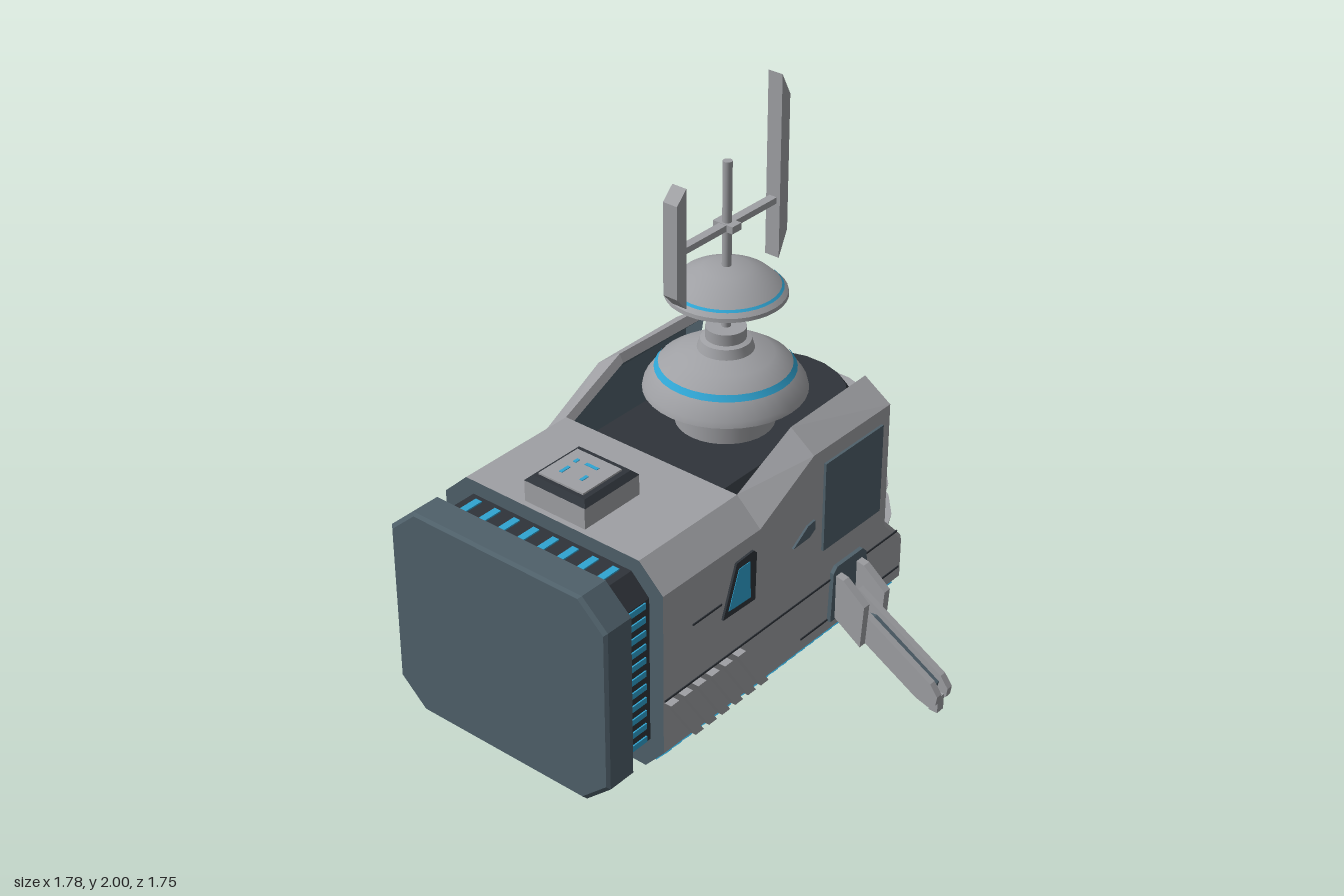
import * as THREE from 'three';
import { mergeGeometries, toCreasedNormals } from 'three/addons/utils/BufferGeometryUtils.js';

const material = (name, color, extra = {}) => {
  const m = new THREE.MeshStandardMaterial({ color, ...extra });
  m.name = name;
  return m;
};

// Skin through equal loops of [x, y, z]; kinds gives a material index per loop segment
function loft(loops, kinds = [], capKind = 0) {
  const n = loops[0].length, buckets = [[], []];
  const tri = (k, ...p) => buckets[k].push(...p.flat());
  for (let i = 0; i < loops.length - 1; i++) {
    for (let j = 0; j < n; j++) {
      const k = (j + 1) % n, A = loops[i], B = loops[i + 1], m = kinds[j] ?? 0;
      tri(m, A[j], B[j], A[k]);
      tri(m, A[k], B[j], B[k]);
    }
  }
  const S = loops[0], E = loops[loops.length - 1];
  for (let j = 0; j < n / 2 - 1; j++) {
    const a = j, b = j + 1, c = n - 2 - j, d = n - 1 - j;
    tri(capKind, S[a], S[b], S[c]); tri(capKind, S[a], S[c], S[d]);
    tri(capKind, E[a], E[c], E[b]); tri(capKind, E[a], E[d], E[c]);
  }
  const geo = new THREE.BufferGeometry();
  geo.setAttribute('position', new THREE.Float32BufferAttribute(buckets.flat(), 3));
  geo.addGroup(0, buckets[0].length / 3, 0);
  geo.addGroup(buckets[0].length / 3, buckets[1].length / 3, 1);
  geo.computeVertexNormals();
  return geo;
}

// Copy of a flat-shaded geometry on the other side of z = 0
function mirrorZ(geo) {
  const g = geo.index ? geo.toNonIndexed() : geo.clone();
  g.scale(1, 1, -1);
  const p = g.attributes.position, v = new THREE.Vector3(), w = new THREE.Vector3();
  for (let i = 0; i < p.count; i += 3) {
    v.fromBufferAttribute(p, i + 1);
    w.fromBufferAttribute(p, i + 2);
    p.setXYZ(i + 1, w.x, w.y, w.z);
    p.setXYZ(i + 2, v.x, v.y, v.z);
  }
  g.computeVertexNormals();
  return g;
}

const box = (w, h, d, x, y, z) => new THREE.BoxGeometry(w, h, d).translate(x, y, z);
const extrude = (pts, depth) => new THREE.ExtrudeGeometry(
  new THREE.Shape(pts.map(p => new THREE.Vector2(...p))), { depth, bevelEnabled: false });
const plate = (pts, depth = 0.008, z = 0.455) => extrude(pts, depth).translate(0, 0, z);
// Outline in (z, y), thickened along x
const slab = (pts, w, x) => extrude(pts, w).rotateY(-Math.PI / 2).translate(x + w / 2, 0, 0);
const lathe = (pts, x, seg = 36) => toCreasedNormals(
  new THREE.LatheGeometry(pts.map(p => new THREE.Vector2(...p)), seg), 0.6).translate(x, 0, 0);
const octagon = (x, z, y0, y1, cz, cy) => [[-z + cz, y0], [z - cz, y0], [z, y0 + cy], [z, y1 - cy],
  [z - cz, y1], [-z + cz, y1], [-z, y1 - cy], [-z, y0 + cy]].map(([a, b]) => [x, b, a]);
// U-shaped line: straight sides from x0, half circle about cx
function uLine(r, y, x0, cx) {
  const pts = [[x0, y, -r]];
  for (let i = 0; i <= 11; i++) {
    const a = -Math.PI / 2 + Math.PI * i / 11;
    pts.push([cx + r * Math.cos(a), y, r * Math.sin(a)]);
  }
  return [...pts, [x0, y, r]];
}

export function createModel() {
  const model = new THREE.Group();
  model.name = 'station';
  const gray = material('hull gray', 0x9fa0a4);
  const slate = material('slate', 0x4f606a);
  const dark = material('dark metal', 0x2f343a);
  const blue = material('light blue', 0x2fa4d2);
  const deep = material('deep blue', 0x1f5fd6);
  const add = (name, geo, mat) => {
    const mesh = new THREE.Mesh(geo, mat);
    mesh.name = name;
    model.add(mesh);
  };
  const both = (name, geo, mat) => {
    add(name + 'Left', geo, mat);
    add(name + 'Right', mirrorZ(geo), mat);
  };

  // End cap and ribbed neck
  add('endCap', loft([octagon(-0.895, 0.44, 0.12, 0.87, 0.1, 0.09), octagon(-0.885, 0.45, 0.11, 0.88, 0.1, 0.09),
    octagon(-0.78, 0.45, 0.11, 0.88, 0.1, 0.09)]), slate);
  add('neck', loft([octagon(-0.78, 0.4, 0.15, 0.83, 0.07, 0.07), octagon(-0.64, 0.4, 0.15, 0.83, 0.07, 0.07)]), dark);
  const strips = [], sideStrips = [];
  for (let i = 0; i < 8; i++) {
    const z = -0.287 + i * 0.082;
    strips.push(box(0.095, 0.008, 0.026, -0.708, 0.831, z), box(0.095, 0.008, 0.026, -0.708, 0.149, z));
  }
  for (let i = 0; i < 11; i++) sideStrips.push(box(0.095, 0.022, 0.008, -0.708, 0.235 + i * 0.051, 0.401));
  add('neckLights', mergeGeometries(strips), blue);
  both('neckSideLights', mergeGeometries(sideStrips), blue);

  // Closed hull, floor and the raised side walls
  const hullLoop = x => [[-0.38, 0.105], [0.38, 0.105], [0.455, 0.19], [0.455, 0.79], [0.36, 0.88],
    [-0.36, 0.88], [-0.455, 0.79], [-0.455, 0.19]].map(([z, y]) => [x, y, z]);
  add('hull', loft([hullLoop(-0.64), hullLoop(-0.17)], [0, 1, 0, 0, 0, 0, 0, 1], 1), [gray, slate]);
  add('floor', box(0.24, 0.015, 0.76, -0.06, 0.1125, 0), gray);
  const wallLoop = (x, yc, yt, zt = 0.36, zi = 0.345) => [[0.38, 0.105], [0.455, 0.19], [0.455, yc], [zt, yt],
    [zi, yt - 0.03], [0.415, yc - 0.03], [0.415, 0.2], [0.37, 0.125]].map(([z, y]) => [x, y, z]);
  const wall = loft([wallLoop(-0.17, 0.79, 0.88), wallLoop(0.1, 0.93, 1.0), wallLoop(0.51, 0.93, 1.0, 0.35, 0.335),
    wallLoop(0.511, 0.45, 0.47, 0.45, 0.42), wallLoop(0.615, 0.34, 0.36, 0.45, 0.42)], [1, 0, 0, 0, 1, 1, 1, 1], 1);
  both('sideWall', wall, [gray, slate]);

  // Lights along the lower chamfer
  const dashes = [];
  for (let i = 0; i < 25; i++) {
    dashes.push(new THREE.BoxGeometry(0.02, 0.008, 0.075).rotateX(Math.atan2(0.75, -0.66))
      .translate(-0.6 + i * 0.049, 0.147, 0.419));
  }
  both('lowerLights', mergeGeometries(dashes), blue);

  // Side details: slanted ribs, seams, window, panel, vent
  const ribs = [];
  for (let i = 0; i < 6; i++) {
    const x = -0.635 + i * 0.066;
    ribs.push(plate([[x, 0.385], [x + 0.12, 0.2], [x + 0.16, 0.2], [x + 0.04, 0.385]], 0.026));
  }
  both('slantedRibs', mergeGeometries(ribs), gray);
  both('seams', mergeGeometries([box(1.22, 0.007, 0.004, -0.025, 0.392, 0.456),
    box(0.55, 0.007, 0.004, 0.33, 0.235, 0.456), box(0.14, 0.007, 0.004, -0.43, 0.608, 0.456)]), dark);
  both('windowFrame', plate([[-0.36, 0.548], [-0.2, 0.543], [-0.195, 0.72], [-0.21, 0.735], [-0.295, 0.73]]), dark);
  both('windowGlass', plate([[-0.335, 0.57], [-0.225, 0.565], [-0.23, 0.705], [-0.285, 0.705]], 0.0098), blue);
  both('sidePanel', plate([[0.155, 0.54], [0.465, 0.54], [0.465, 0.875], [0.155, 0.875]], 0.0095), slate);
  both('vent', plate([[-0.005, 0.63], [0.08, 0.632], [0.11, 0.65], [0.108, 0.685], [0.07, 0.68]]), slate);

  // Legs with their sockets
  both('legSocket', plate([[0.2, 0.23], [0.42, 0.23], [0.39, 0.42], [0.37, 0.44], [0.23, 0.44], [0.21, 0.42]], 0.015), slate);
  const shoulder = [[0.45, 0.25], [0.577, 0.165], [0.588, 0.33], [0.5, 0.4], [0.45, 0.41]];
  const arm = [[0.5, 0.21], [0.79, 0.045], [0.84, 0.03], [0.87, 0.05], [0.875, 0.085], [0.845, 0.125], [0.588, 0.27], [0.5, 0.32]];
  const core = [[0.5, 0.24], [0.78, 0.075], [0.83, 0.06], [0.84, 0.1], [0.58, 0.25]];
  both('shoulder', mergeGeometries([slab(shoulder, 0.03, 0.238), slab(shoulder, 0.03, 0.352)]), gray);
  both('legRails', mergeGeometries([slab(arm, 0.025, 0.265), slab(arm, 0.025, 0.325)]), gray);
  both('legCore', slab(core, 0.036, 0.295), slate);
  both('foot', box(0.035, 0.06, 0.035, 0.295, 0.03, 0.845), gray);

  // Rounded reactor core with lit rows and collar rings
  add('core', loft([[0.16, 0.31], [0.19, 0.34], [0.28, 0.36], [0.73, 0.32], [0.79, 0.305], [0.84, 0.27]]
    .map(([y, r]) => uLine(r, y, -0.17, 0.44))), dark);
  const row = (y, h, w, count) => {
    const r = (0.36 - (y - 0.28) * 0.089) * 0.99, out = [];
    for (let i = 0; i < count; i++) {
      const a = Math.PI * ((i + 0.5) / count - 0.5);
      out.push(new THREE.BoxGeometry(0.016, h, w).rotateY(-a)
        .translate(0.44 + r * Math.cos(a), y, r * Math.sin(a)));
    }
    return out;
  };
  add('coreLights', mergeGeometries([0.64, 0.515, 0.39].flatMap(y => row(y, 0.055, 0.065, 9))), blue);
  add('coreGlow', mergeGeometries([...row(0.738, 0.016, 0.06, 9), ...row(0.288, 0.028, 0.06, 9)]), deep);
  [[0.67, 0.372], [0.547, 0.39], [0.423, 0.408], [0.3, 0.424]].forEach(([y, r], i) => {
    const ring = (ro, yy) => [...uLine(ro, yy, 0.42, 0.465), ...uLine(0.29, yy, 0.42, 0.465).reverse()];
    add('collarRing' + (i + 1), loft([ring(r - 0.013, y), ring(r, y + 0.062)]), gray);
  });

  // Roof hatch
  add('hatchBase', box(0.255, 0.08, 0.25, -0.492, 0.915, 0), gray);
  add('hatchFrame', loft([[0.955, 0.127], [0.973, 0.108]].map(([y, s]) =>
    [[-s, -s], [s, -s], [s, s], [-s, s]].map(([x, z]) => [x - 0.492, y, z]))), dark);
  add('hatchLid', box(0.18, 0.009, 0.185, -0.495, 0.975, -0.003), gray);
  add('hatchLights', mergeGeometries([[-0.52, -0.045, 0.04, 0.012], [-0.46, -0.05, 0.02, 0.012],
    [-0.52, 0.035, 0.03, 0.012], [-0.455, 0.01, 0.012, 0.05]].map(([x, z, w, d]) => box(w, 0.004, d, x, 0.98, z))), blue);

  // Domed turret
  const cx = 0.215;
  add('turretColumn', new THREE.CylinderGeometry(0.168, 0.168, 0.14, 32).translate(cx, 0.905, 0), gray);
  add('dome', lathe([[0, 0.965], [0.275, 0.965], [0.27, 0.985], [0.225, 1.05], [0.16, 1.092], [0.095, 1.112],
    [0.085, 1.145], [0.068, 1.15], [0.068, 1.19], [0, 1.19]], cx), gray);
  add('domeBand', lathe([[0.236, 1.04], [0.222, 1.059]], cx), blue);

  // Mast, dish and blade antenna
  add('mast', new THREE.CylinderGeometry(0.016, 0.016, 0.6, 12).translate(cx, 1.48, 0), gray);
  add('dish', lathe([[0, 1.38], [0.1, 1.365], [0.17, 1.33], [0.195, 1.312], [0.202, 1.312], [0.2, 1.325], [0.15, 1.372],
    [0.08, 1.404], [0, 1.413]], cx), gray);
  add('dishBand', lathe([[0.187, 1.339], [0.179, 1.346]], cx), blue);
  add('crossbar', box(0.48, 0.022, 0.03, cx, 1.555, 0), gray);
  add('crossbarHub', box(0.045, 0.025, 0.08, cx, 1.555, 0), gray);
  add('shortBlade', plate([[-0.065, 1.41], [-0.02, 1.36], [-0.02, 1.78], [-0.065, 1.735]], 0.056, -0.028), gray);
  add('longBlade', plate([[0.45, 1.35], [0.492, 1.44], [0.492, 1.92], [0.45, 2.0]], 0.056, -0.028), gray);

  return model;
}
